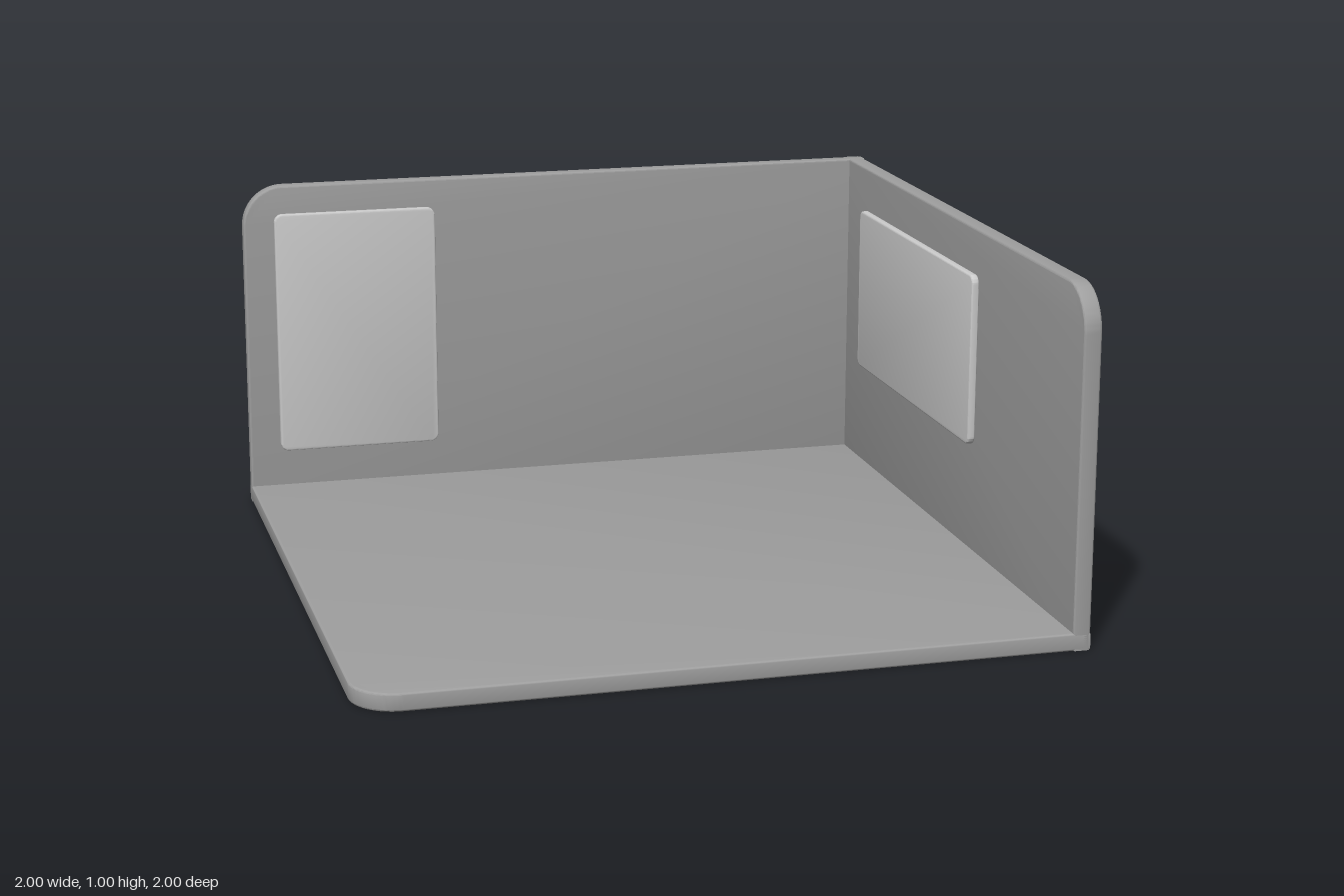
import * as THREE from 'three';
import { toCreasedNormals } from 'three/addons/utils/BufferGeometryUtils.js';

const wallMaterial = new THREE.MeshStandardMaterial({ color: 0x9e9e9e });
const panelMaterial = new THREE.MeshStandardMaterial({ color: 0xcccccc });

// Upright slab centred on x, from y = 0 and z = 0, with a softened rim.
// radii: top left, top right, bottom right, bottom left
function slab(width, height, thickness, radii, bevel) {
  const [tl, tr, br, bl] = radii;
  const x = width / 2;
  const s = new THREE.Shape();
  s.moveTo(-x + bl, 0);
  s.lineTo(x - br, 0);
  if (br) s.absarc(x - br, br, br, -Math.PI / 2, 0);
  s.lineTo(x, height - tr);
  if (tr) s.absarc(x - tr, height - tr, tr, 0, Math.PI / 2);
  s.lineTo(-x + tl, height);
  if (tl) s.absarc(-x + tl, height - tl, tl, Math.PI / 2, Math.PI);
  s.lineTo(-x, bl);
  if (bl) s.absarc(-x + bl, bl, bl, Math.PI, Math.PI * 1.5);
  const geometry = new THREE.ExtrudeGeometry(s, {
    depth: thickness - 2 * bevel,
    bevelThickness: bevel,
    bevelSize: bevel,
    bevelOffset: -bevel,
    bevelSegments: 3,
    curveSegments: 12,
  });
  geometry.translate(0, 0, bevel);
  return toCreasedNormals(geometry, 0.6);
}

export function createModel() {
  const group = new THREE.Group();
  const add = (name, geometry, material) => {
    const mesh = new THREE.Mesh(geometry, material);
    mesh.name = name;
    group.add(mesh);
  };
  const corner = [0.125, 0, 0, 0];
  const bevel = 0.006;

  // Floor and two walls, each with one rounded free corner
  add('floor', slab(2, 2, 0.05, corner, bevel).rotateX(Math.PI / 2).translate(0, 0.05, -1), wallMaterial);
  add('backWall', slab(2, 1, 0.045, corner, bevel).translate(0, 0, -1), wallMaterial);
  add('leftWall', slab(2, 1, 0.05, corner, bevel).rotateY(Math.PI / 2).translate(0.95, 0, 0), wallMaterial);

  // Thin panels hanging just in front of the walls
  const soft = [0.025, 0.025, 0.025, 0.025];
  add('backPanel', slab(0.5, 0.75, 0.022, soft, 0.005).translate(-0.658, 0.165, -0.952), panelMaterial);
  add('leftPanel', slab(1, 0.5, 0.022, soft, 0.005).rotateY(Math.PI / 2).translate(0.914, 0.378, -0.237), panelMaterial);

  return group;
}
